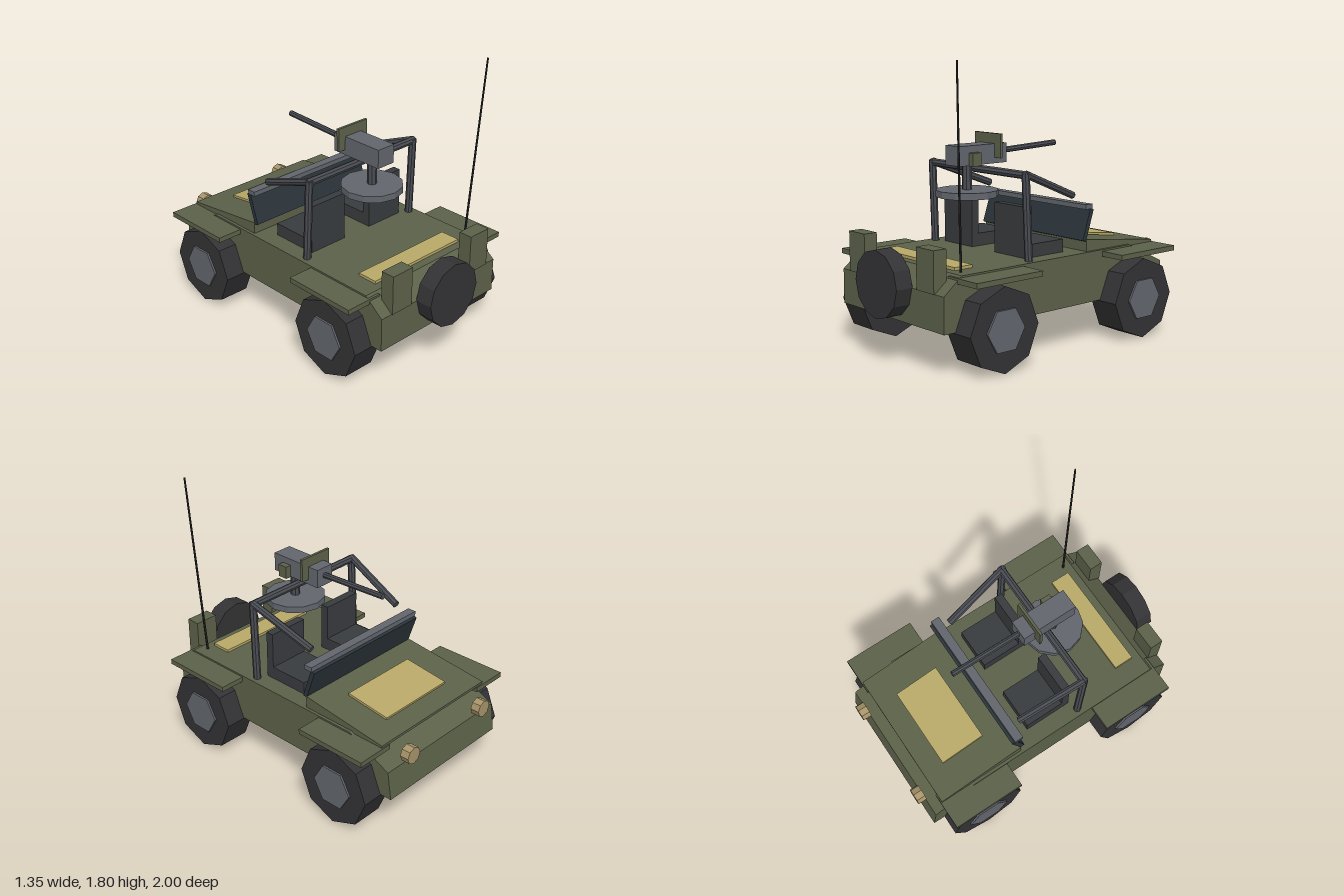
import * as THREE from 'three';

const paint = (color) => new THREE.MeshStandardMaterial({ color, flatShading: true });
const GREEN = paint(0x5c6149), GOLD = paint(0xb8a868), RUBBER = paint(0x333335), STEEL = paint(0x62666d);
const DARK = paint(0x494c52), SEAT = paint(0x383b3e), GLASS = paint(0x2b343a), LAMP = paint(0xa8946a);
const BLACK = paint(0x2a2a2c);

export function createModel() {
  const model = new THREE.Group();

  const add = (name, geometry, material, x = 0, y = 0, z = 0) => {
    const mesh = new THREE.Mesh(geometry, material);
    mesh.name = name;
    mesh.position.set(x, y, z);
    model.add(mesh);
    return mesh;
  };
  // Box given by its extents on each axis
  const box = (name, material, [x0, x1], [y0, y1], [z0, z1]) =>
    add(name, new THREE.BoxGeometry(x1 - x0, y1 - y0, z1 - z0), material,
      (x0 + x1) / 2, (y0 + y1) / 2, (z0 + z1) / 2);
  // Straight bar between two points
  const rod = (name, material, a, b, r0, r1 = r0, sides = 8) => {
    const from = new THREE.Vector3(...a), to = new THREE.Vector3(...b);
    const dir = to.clone().sub(from);
    const mesh = add(name, new THREE.CylinderGeometry(r1, r0, dir.length(), sides), material);
    mesh.position.copy(from).lerp(to, 0.5);
    mesh.quaternion.setFromUnitVectors(new THREE.Vector3(0, 1, 0), dir.normalize());
    return mesh;
  };
  // Side profile of [z, y] points extruded across the width
  const slab = (name, material, points, halfWidth) => {
    const shape = new THREE.Shape(points.map(([z, y]) => new THREE.Vector2(-z, y)));
    const geometry = new THREE.ExtrudeGeometry(shape, { depth: halfWidth * 2, bevelEnabled: false });
    geometry.translate(0, 0, -halfWidth).rotateY(Math.PI / 2);
    return add(name, geometry, material);
  };
  // Polygonal wheel lying along x, with a corner at the top
  const disc = (radius, width, sides) =>
    new THREE.CylinderGeometry(radius, radius, width, sides).rotateX(Math.PI / 2).rotateZ(Math.PI / 2).rotateY(Math.PI / 2);

  // Hull and bonnet
  slab('hull', GREEN, [[0.89, 0.265], [-0.97, 0.265], [-0.943, 0.445], [-0.64, 0.588], [0.76, 0.588], [0.89, 0.485]], 0.505);
  slab('bonnet', GREEN, [[-0.265, 0.575], [-0.875, 0.575], [-0.875, 0.592], [-0.265, 0.665]], 0.485);
  const bonnetPanel = add('bonnetPanel', new THREE.BoxGeometry(0.56, 0.015, 0.31), GOLD, 0, 0.636, -0.58);
  bonnetPanel.rotation.x = -0.13;
  box('rearPanel', GOLD, [-0.372, 0.372], [0.585, 0.606], [0.57, 0.705]);

  // Windshield leaning forward, with its top bar
  const windshield = add('windshield', new THREE.BoxGeometry(0.96, 0.21, 0.03), GLASS, 0, 0.755, -0.283);
  windshield.rotation.x = -0.32;
  box('windshieldBar', STEEL, [-0.487, 0.487], [0.856, 0.887], [-0.312, -0.253]);

  for (const s of [-1, 1]) {
    const span = (a, b) => (s > 0 ? [a, b] : [-b, -a]);

    // Wheels and mudguards
    for (const z of [0.55, -0.63]) {
      add('tyre', disc(0.26, 0.21, 8), RUBBER, s * 0.535, 0.26, z);
      add('hub', disc(0.142, 0.235, 6), STEEL, s * 0.535, 0.26, z);
    }
    box('frontMudguard', GREEN, span(0.42, 0.675), [0.544, 0.577], [-0.883, -0.387]);
    box('rearMudguard', GREEN, span(0.42, 0.675), [0.544, 0.577], [0.287, 0.79]);

    // Headlamps and rear fuel cans
    add('headlamp', new THREE.CylinderGeometry(0.056, 0.056, 0.06, 8).rotateX(Math.PI / 2), LAMP, s * 0.34, 0.511, -0.97);
    box('fuelCan', GREEN, span(0.26, 0.423), [0.485, 0.738], [0.805, 0.897]);

    // Seats
    box('seatBase', SEAT, span(0.11, 0.39), [0.585, 0.67], [-0.153, 0.13]);
    box('seatBack', SEAT, span(0.11, 0.39), [0.585, 0.905], [0.118, 0.172]);

    // Roll cage posts and forward arms
    rod('cagePost', DARK, [s * 0.455, 0.585, 0.2], [s * 0.45, 1.12, 0.222], 0.025);
    rod('cageArm', DARK, [s * 0.452, 1.115, 0.222], [s * 0.395, 0.94, -0.225], 0.024);
  }
  rod('cageCrossbar', DARK, [-0.465, 1.108, 0.217], [0.465, 1.108, 0.217], 0.025);

  // Spare wheel
  add('spareWheel', new THREE.CylinderGeometry(0.208, 0.208, 0.115, 12).rotateX(Math.PI / 2), RUBBER, 0, 0.486, 0.9425);

  // Roof gun on its round mount
  add('mountRing', new THREE.CylinderGeometry(0.197, 0.197, 0.042, 12), STEEL, 0, 0.964, 0.302);
  rod('pedestal', DARK, [0, 0.98, 0.302], [0, 1.16, 0.302], 0.031);
  box('gunBody', STEEL, [-0.067, 0.067], [1.14, 1.263], [0.037, 0.418]);
  rod('gunBarrel', DARK, [0, 1.207, 0.06], [0, 1.228, -0.445], 0.019);
  box('gunShield', GREEN, [-0.122, 0.122], [1.175, 1.327], [0.115, 0.133]);
  box('ammoBox', GREEN, [0.06, 0.107], [1.138, 1.22], [0.275, 0.342]);

  // Whip antenna
  rod('antenna', BLACK, [0.43, 0.585, 0.705], [0.482, 1.8, 0.767], 0.008, 0.006, 6);

  return model;
}
